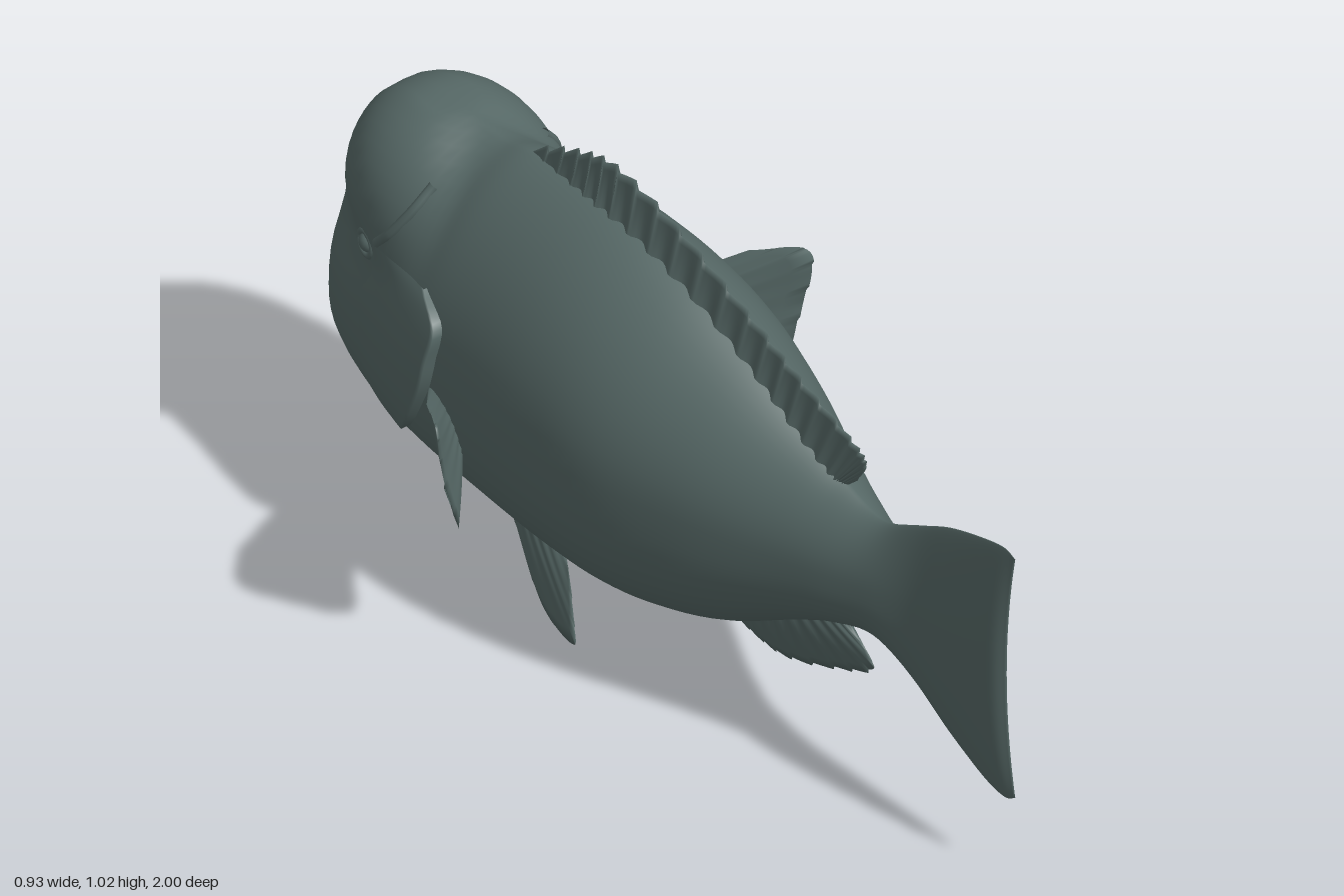
import * as THREE from 'three';
import { mergeVertices } from 'three/addons/utils/BufferGeometryUtils.js';

const V = (x, y, z) => new THREE.Vector3(x, y, z);
const curve = (pts) => new THREE.CatmullRomCurve3(pts.map((p) => V(...p)), false, 'catmullrom', 0.5);

// Surface from a function of (u, v), each running 0..1
function grid(nu, nv, fn) {
  const pos = [], idx = [];
  for (let i = 0; i <= nu; i++)
    for (let j = 0; j <= nv; j++) pos.push(...fn(i / nu, j / nv).toArray());
  for (let i = 0; i < nu; i++)
    for (let j = 0; j < nv; j++) {
      const a = i * (nv + 1) + j, b = a + nv + 1;
      idx.push(a, b, b + 1, a, b + 1, a + 1);
    }
  let g = new THREE.BufferGeometry();
  g.setAttribute('position', new THREE.Float32BufferAttribute(pos, 3));
  g.setIndex(idx);
  g = mergeVertices(g, 1e-5);
  g.computeVertexNormals();
  return g;
}

// Body stations from snout to tail: z, top, bottom, half width, height of widest point
const stations = [
  [-0.984, 0.46, 0.37, 0.004, 0.41], [-0.974, 0.5, 0.335, 0.055, 0.41],
  [-0.953, 0.54, 0.3, 0.092, 0.41], [-0.928, 0.61, 0.28, 0.12, 0.42],
  [-0.918, 0.72, 0.27, 0.135, 0.42], [-0.9, 0.8, 0.26, 0.152, 0.43],
  [-0.86, 0.865, 0.24, 0.175, 0.44], [-0.78, 0.905, 0.21, 0.205, 0.45],
  [-0.68, 0.908, 0.185, 0.23, 0.46], [-0.56, 0.895, 0.165, 0.247, 0.48],
  [-0.45, 0.915, 0.148, 0.253, 0.5], [-0.2, 0.92, 0.137, 0.267, 0.51],
  [0, 0.88, 0.145, 0.258, 0.51], [0.2, 0.8, 0.195, 0.205, 0.51],
  [0.4, 0.7, 0.3, 0.13, 0.5], [0.5, 0.655, 0.345, 0.095, 0.5],
  [0.6, 0.635, 0.365, 0.06, 0.5], [0.7, 0.68, 0.315, 0.033, 0.49],
  [0.8, 0.73, 0.25, 0.025, 0.48], [0.9, 0.762, 0.2, 0.019, 0.48],
  [0.965, 0.775, 0.185, 0.014, 0.48], [0.998, 0.765, 0.2, 0, 0.48],
];
const outline = curve(stations.map((s) => [s[0], s[1], s[2]]));
const girth = curve(stations.map((s) => [s[3], s[4], 0]));

function station(t) {
  const o = outline.getPoint(t), g = girth.getPoint(t);
  return { z: o.x, top: o.y, bot: o.z, hw: Math.max(0, g.x), mid: g.y };
}

// Half width of a section at height y: narrow back, full belly, forehead hump blended in
function halfWidth(s, y) {
  const up = y > s.mid;
  const k = Math.min(1, up ? (y - s.mid) / (s.top - s.mid) : (s.mid - y) / (s.mid - s.bot));
  let a = s.hw * (up ? Math.pow(1 - k ** 2, 0.68) : Math.sqrt(1 - Math.pow(k, 2.7)));
  a *= 1 - 0.12 * Math.exp(-(((y - 0.61) / 0.06) ** 2) - ((s.z + 0.84) / 0.12) ** 2);
  const h = 1 - ((y - 0.75) / 0.165) ** 2 - ((s.z + 0.72) / 0.2) ** 2;
  const hump = h > 0 ? 0.18 * Math.sqrt(h) : 0;
  return Math.pow(a ** 4 + hump ** 4, 0.25);
}

function bodyX(y, z) {
  let lo = 0, hi = 1;
  for (let i = 0; i < 30; i++) {
    const m = (lo + hi) / 2;
    if (station(m).z < z) lo = m; else hi = m;
  }
  return halfWidth(station(lo), y);
}

function bodyGeometry() {
  return grid(126, 56, (u, v) => {
    const s = station(u), a = (v % 1) * Math.PI * 2, c = Math.cos(a);
    const y = s.mid + c * (c > 0 ? s.top - s.mid : s.mid - s.bot);
    const sn = Math.abs(Math.sin(a)) < 1e-6 ? 0 : Math.sign(Math.sin(a));
    // concave trailing edge on the tail
    const notch = 0.026 * THREE.MathUtils.smoothstep(s.z, 0.85, 1) * (1 - c * c);
    return V(sn * halfWidth(s, y), y, s.z - notch);
  });
}

// Thin ruled fin between a root curve and a tip curve, pleated by rays and edged with teeth
function finGeometry({ root, tip, normal, thick, rays, pleat, taper, tooth, lean }) {
  const r = curve(root), t = curve(tip), n = V(...normal).normalize();
  return grid(rays * 8, 16, (u, w) => {
    const side = w < 0.5 ? 1 : -1, v = 1 - Math.abs(2 * w - 1);
    const edge = t.getPoint(u).addScaledVector(lean, tooth(u) * ((u * rays) % 1));
    const p = r.getPoint(u).lerp(edge, v);
    const fold = 1 - pleat + pleat * Math.cos(2 * Math.PI * rays * u);
    const d = thick(u) * (1 - v ** taper) * fold * Math.sqrt(Math.max(0, Math.sin(Math.PI * u)));
    return p.addScaledVector(n, side * d);
  });
}

// Raised gill plate: fades into the cheek in front, stepped at its rear edge
function gillGeometry() {
  const edge = curve([[0, 0.66, -0.52], [0, 0.615, -0.45], [0, 0.54, -0.455], [0, 0.45, -0.48],
    [0, 0.33, -0.55], [0, 0.25, -0.64]]);
  return grid(20, 24, (u, v) => {
    const e = edge.getPoint(v), k = Math.min(1, u / 0.94);
    const z = THREE.MathUtils.lerp(-0.76, e.z, k);
    const lift = u > 0.96 ? -0.015 : -0.004 + 0.032 * k * Math.pow(Math.sin(Math.PI * (0.06 + 0.88 * v)), 0.6);
    return V(bodyX(e.y, z) + lift, e.y, z);
  });
}

export function createModel() {
  const model = new THREE.Group();
  const skin = new THREE.MeshStandardMaterial({ color: 0x566866, side: THREE.DoubleSide });
  skin.name = 'slate green';
  const add = (name, geo, parent = model) => {
    const m = new THREE.Mesh(geo, skin);
    m.name = name;
    parent.add(m);
    return m;
  };

  add('body', bodyGeometry());

  // Spiny dorsal fin along the back, flared at its base
  add('dorsalFin', finGeometry({
    root: [[0, 0.87, -0.48], [0, 0.875, -0.33], [0, 0.875, -0.2], [0, 0.84, -0.02], [0, 0.76, 0.18],
      [0, 0.7, 0.33], [0, 0.65, 0.44], [0, 0.645, 0.46], [0, 0.64, 0.47]],
    tip: [[0, 0.91, -0.47], [0, 0.98, -0.33], [0, 1.007, -0.21], [0, 0.965, -0.02], [0, 0.885, 0.19],
      [0, 0.82, 0.35], [0, 0.765, 0.5], [0, 0.735, 0.545], [0, 0.685, 0.52]],
    normal: [1, 0, 0], thick: (u) => 0.06 - 0.042 * u, rays: 24, pleat: 0.18, taper: 0.8,
    tooth: (u) => 0.032 - 0.024 * u, lean: V(0, 0.9, 0.4),
  }));

  // Anal fin under the rear belly
  add('analFin', finGeometry({
    root: [[0, 0.19, 0.07], [0, 0.22, 0.18], [0, 0.27, 0.28], [0, 0.31, 0.36], [0, 0.34, 0.42], [0, 0.36, 0.46]],
    tip: [[0, 0.175, 0.1], [0, 0.148, 0.21], [0, 0.152, 0.31], [0, 0.21, 0.46], [0, 0.27, 0.565], [0, 0.33, 0.5]],
    normal: [1, 0, 0], thick: () => 0.025, rays: 12, pleat: 0.12, taper: 1.6,
    tooth: () => 0.008, lean: V(0, -0.7, 0.7),
  }));

  // Lips
  for (const [name, y, z] of [['upperLip', 0.432, -0.972], ['lowerLip', 0.358, -0.962]]) {
    const y1 = (y + 0.4) / 2, path = curve([[-0.125, 0.395, -0.87], [-0.08, y1, -0.943], [0, y, z],
      [0.08, y1, -0.943], [0.125, 0.395, -0.87]]);
    add(name, new THREE.TubeGeometry(path, 32, 0.027, 10));
  }

  // Parts repeated on both sides
  for (const [side, sx] of [['left', 1], ['right', -1]]) {
    const half = new THREE.Group();
    half.name = side + 'Side';
    half.scale.x = sx;
    model.add(half);

    add(side + 'GillCover', gillGeometry(), half);

    add(side + 'PectoralFin', finGeometry({
      root: [[0.245, 0.46, -0.48], [0.24, 0.42, -0.46], [0.235, 0.39, -0.44], [0.235, 0.36, -0.42], [0.235, 0.34, -0.41]],
      tip: [[0.4, 0.59, -0.3], [0.462, 0.618, -0.195], [0.445, 0.5, -0.195], [0.385, 0.335, -0.22], [0.3, 0.31, -0.37]],
      normal: [0.78, 0, -0.62], thick: () => 0.02, rays: 9, pleat: 0.05, taper: 1.6,
      tooth: () => 0.006, lean: V(0.5, 0, 0.5),
    }), half);

    add(side + 'PelvicFin', finGeometry({
      root: [[0.1, 0.17, -0.26], [0.095, 0.17, -0.31], [0.09, 0.17, -0.36], [0.085, 0.17, -0.4], [0.08, 0.17, -0.45]],
      tip: [[0.13, 0.135, -0.2], [0.155, 0.06, -0.155], [0.168, 0.005, -0.14], [0.148, 0.025, -0.26], [0.1, 0.12, -0.4]],
      normal: [0.9, 0.4, 0], thick: () => 0.02, rays: 6, pleat: 0.05, taper: 2,
      tooth: () => 0.003, lean: V(0, 0, 1),
    }), half);

    // Eye with a raised lid ring
    const ex = bodyX(0.635, -0.735);
    const eye = add(side + 'Eye', new THREE.SphereGeometry(0.024, 20, 14), half);
    eye.position.set(ex - 0.012, 0.635, -0.735);
    const lid = add(side + 'Eyelid', new THREE.TorusGeometry(0.026, 0.008, 8, 24), half);
    lid.position.set(ex - 0.002, 0.635, -0.735);
    lid.rotation.y = Math.PI / 2 + 0.2;

    // Fold running from the back of the hump down to the eye
    const fold = [[0.82, -0.6], [0.77, -0.615], [0.71, -0.65], [0.665, -0.69]]
      .map(([y, z]) => [bodyX(y, z) - 0.005, y, z]);
    add(side + 'BrowFold', new THREE.TubeGeometry(curve(fold), 20, 0.011, 8), half);
  }
  return model;
}
